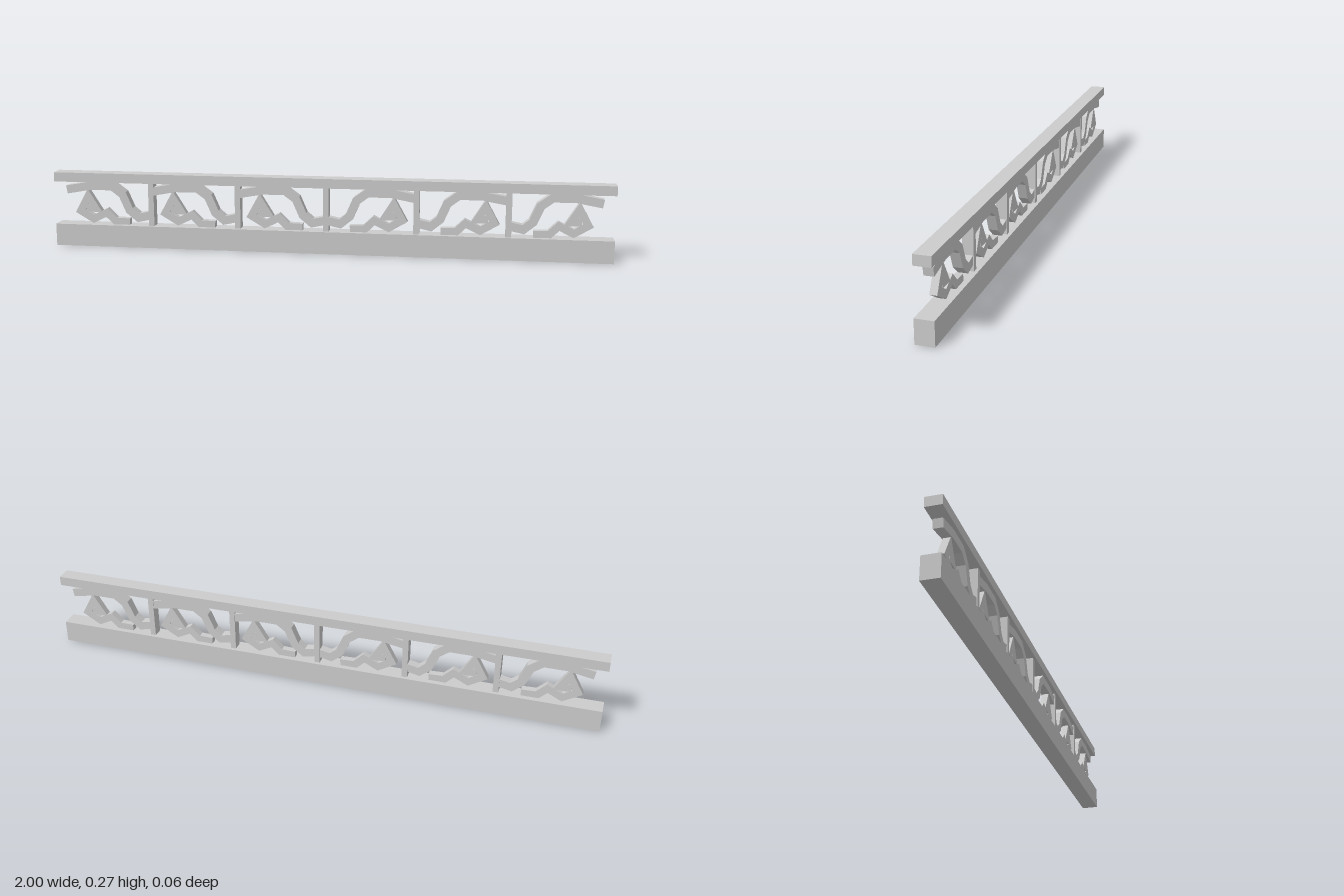
import * as THREE from 'three';

const material = new THREE.MeshStandardMaterial({ color: 0xcccccc, flatShading: true });

function add(parent, name, geometry, x = 0, y = 0) {
  const mesh = new THREE.Mesh(geometry, material);
  mesh.name = name;
  mesh.position.set(x, y, 0);
  parent.add(mesh);
}

// Extrude a flat outline, centred on z = 0
function plate(points, depth) {
  const shape = new THREE.Shape(points);
  return new THREE.ExtrudeGeometry(shape, { depth, bevelEnabled: false }).translate(0, 0, -depth / 2);
}

// Mitred band of constant width along a polyline
function band(path, width, depth) {
  const pts = path.map(([x, y]) => new THREE.Vector2(x, y));
  const normal = (a, b) => new THREE.Vector2(a.y - b.y, b.x - a.x).normalize();
  const left = [], right = [];
  pts.forEach((p, i) => {
    const n0 = normal(pts[Math.max(i - 1, 0)], pts[Math.max(i, 1)]);
    const last = pts.length - 1;
    const n1 = normal(pts[Math.min(i, last - 1)], pts[Math.min(i + 1, last)]);
    const m = n0.clone().add(n1).normalize();
    const offset = m.clone().multiplyScalar(width / 2 / Math.max(m.dot(n0), 0.45));
    left.push(p.clone().add(offset));
    right.unshift(p.clone().sub(offset));
  });
  return plate([...left, ...right], depth);
}

// Mirror a geometry in x, keeping its faces outward
function mirrorX(geometry) {
  const g = geometry.index ? geometry.toNonIndexed() : geometry.clone();
  g.scale(-1, 1, 1);
  const p = g.attributes.position;
  const a = new THREE.Vector3(), b = new THREE.Vector3();
  for (let i = 0; i < p.count; i += 3) {
    a.fromBufferAttribute(p, i);
    b.fromBufferAttribute(p, i + 1);
    p.setXYZ(i, b.x, b.y, b.z);
    p.setXYZ(i + 1, a.x, a.y, a.z);
  }
  g.computeVertexNormals();
  return g;
}

export function createModel() {
  const model = new THREE.Group();
  model.name = 'balustrade';

  // Rails
  add(model, 'baseRail', new THREE.BoxGeometry(2, 0.08, 0.062), 0, 0.04);
  add(model, 'topRail', new THREE.BoxGeometry(2, 0.034, 0.056), 0, 0.254);

  // Scrollwork for one bay; x = 0 is the post on its inner side
  const parts = {
    archedStem: band([[-0.318, 0.206], [-0.23, 0.222], [-0.147, 0.222], [-0.108, 0.193],
      [-0.083, 0.135], [-0.05, 0.108], [-0.004, 0.118]], 0.03, 0.032),
    curl: band([[-0.248, 0.139], [-0.212, 0.138], [-0.240, 0.183], [-0.271, 0.127],
      [-0.222, 0.098], [-0.171, 0.123], [-0.139, 0.092], [-0.085, 0.09]], 0.027, 0.024),
    leaf: plate([[-0.07, 0.178], [-0.05, 0.145], [0, 0.15], [0, 0.185], [-0.035, 0.168]], 0.028),
  };

  // Three bays on each side, mirrored about the centre
  const pitch = 0.32;
  for (const side of [-1, 1]) {
    for (let i = 0; i < 3; i++) {
      const bay = new THREE.Group();
      bay.name = (side < 0 ? 'right' : 'left') + 'ScrollBay' + (i + 1);
      bay.position.x = side * i * pitch;
      for (const [name, geometry] of Object.entries(parts)) {
        add(bay, name, side < 0 ? geometry : mirrorX(geometry));
      }
      model.add(bay);
    }
  }

  // Posts between the bays
  for (let i = -2; i <= 2; i++) {
    add(model, 'post', new THREE.BoxGeometry(0.02, 0.161, 0.037), i * pitch, 0.1585);
  }
  return model;
}
